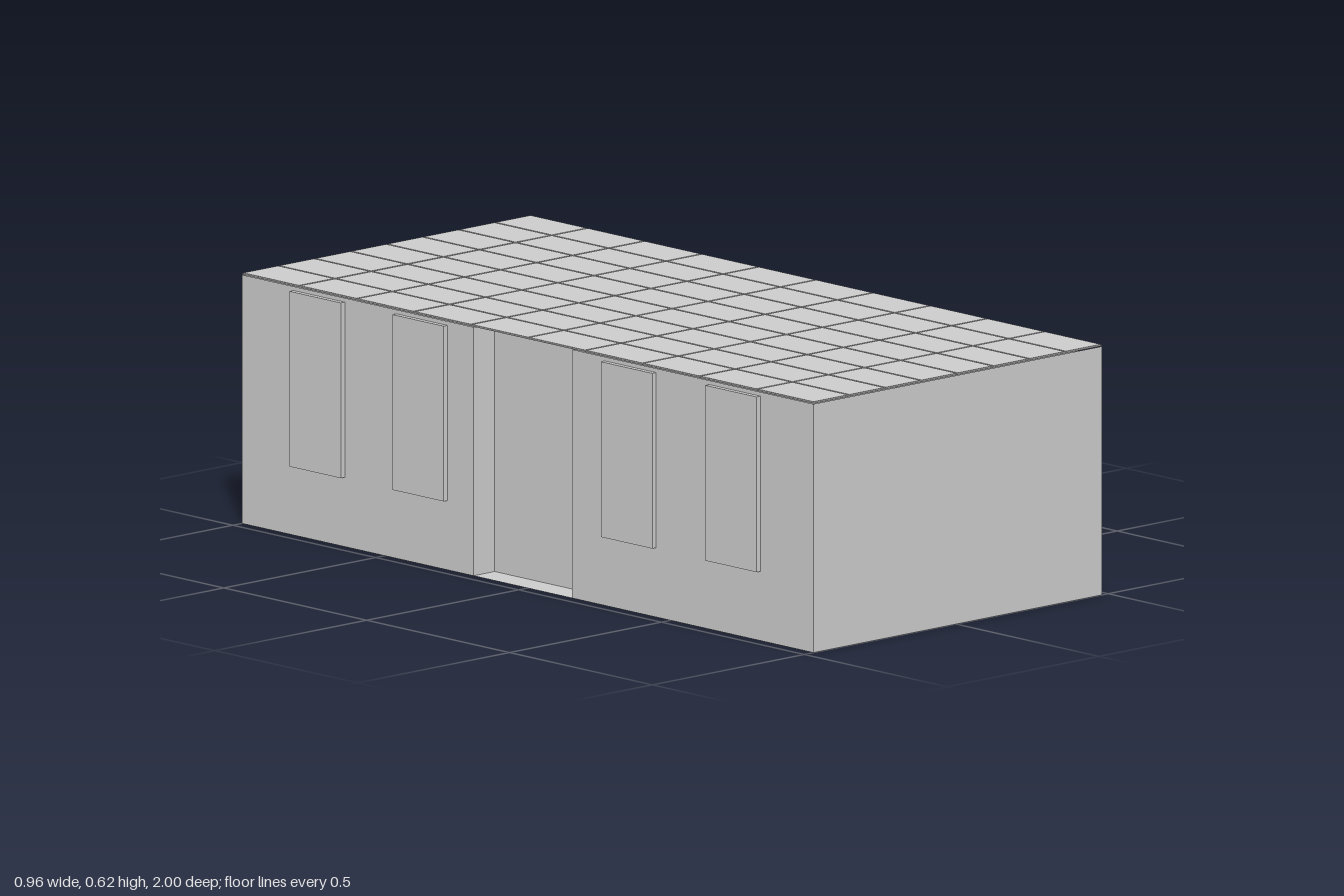
import * as THREE from 'three';

const mat = new THREE.MeshStandardMaterial({ color: 0xcccccc, side: THREE.DoubleSide, flatShading: true });
const X0 = -0.47, X1 = 0.48, INNER = 0.4, H = 0.61;

// Thin rectangular sheet with rectangular openings, each [u0, u1, y0, y1]
function sheet(u0, u1, y0, y1, holes = []) {
  const outline = (a, b, c, d, s) => s.moveTo(a, c).lineTo(b, c).lineTo(b, d).lineTo(a, d).closePath();
  const shape = outline(u0, u1, y0, y1, new THREE.Shape());
  for (const h of holes) shape.holes.push(outline(...h, new THREE.Path()));
  return new THREE.ShapeGeometry(shape);
}

// Box shell without the listed faces (0 +x, 1 -x, 2 +y, 3 -y, 4 +z, 5 -z)
function openBox(x0, x1, y0, y1, z0, z1, skip) {
  const g = new THREE.BoxGeometry(x1 - x0, y1 - y0, z1 - z0);
  g.setIndex(Array.from(g.index.array).filter((_, i) => !skip.includes(Math.floor(i / 6))));
  g.clearGroups();
  return g.translate((x0 + x1) / 2, (y0 + y1) / 2, (z0 + z1) / 2);
}

export function createModel() {
  const group = new THREE.Group();
  const add = (name, geometry, parent = group) => {
    const m = new THREE.Mesh(geometry, mat);
    m.name = name;
    parent.add(m);
    return m;
  };

  // End walls
  add('frontWall', sheet(X0, X1, 0, H)).position.z = 1;
  add('backWall', sheet(X0, X1, 0, H)).position.z = -1;

  // Window side: wall with openings, shallow window bays and a recessed doorway
  const windows = [[-0.82, -0.64], [-0.46, -0.28], [0.27, 0.45], [0.635, 0.815]];
  const door = [-0.19, 0.155];
  const openings = windows.map(([a, b]) => [a, b, 0.17, 0.6]);
  for (const [a, b, holes] of [[-1, door[0], openings.slice(0, 2)], [door[1], 1, openings.slice(2)]]) {
    add('windowWall', sheet(a, b, 0, H, holes).rotateY(-Math.PI / 2)).position.x = X0;
  }
  for (const [a, b] of windows) add('windowBay', openBox(-0.483, X0, 0.17, 0.6, a, b, [0]));
  add('doorRecess', openBox(X0, -0.4, 0, H, door[0], door[1], [1, 2]));

  // Alcove side: inner wall with two alcoves pushed outwards
  const alcoves = [[0.28, 0.85], [-0.999, -0.31]];
  const wall = new THREE.Shape();
  [[-1, H], [-1, 0.55], [-0.31, 0.55], [-0.31, 0], [0.28, 0], [0.28, 0.55],
    [0.85, 0.55], [0.85, 0], [1, 0], [1, H]].forEach(([z, y], i) => (i ? wall.lineTo(z, y) : wall.moveTo(z, y)));
  add('alcoveWall', new THREE.ShapeGeometry(wall).rotateY(-Math.PI / 2)).position.x = INNER;
  for (const [a, b] of alcoves) add('alcove', openBox(INNER, X1, 0, 0.55, a, b, [1]));

  // Roof: thin sheet carrying a grid of tiles
  const roof = new THREE.Group();
  roof.name = 'roof';
  group.add(roof);
  add('roofSheet', new THREE.BoxGeometry(X1 - X0, 0.002, 2), roof).position.set((X0 + X1) / 2, 0.612, 0);
  const cols = 8, rows = 10, w = (X1 - X0) / cols, d = 2 / rows;
  const tile = new THREE.BoxGeometry(w - 0.005, 0.002, d - 0.005);
  for (let i = 0; i < cols; i++) {
    for (let j = 0; j < rows; j++) {
      add('roofTile', tile, roof).position.set(X0 + (i + 0.5) * w, 0.614, -1 + (j + 0.5) * d);
    }
  }
  return group;
}
